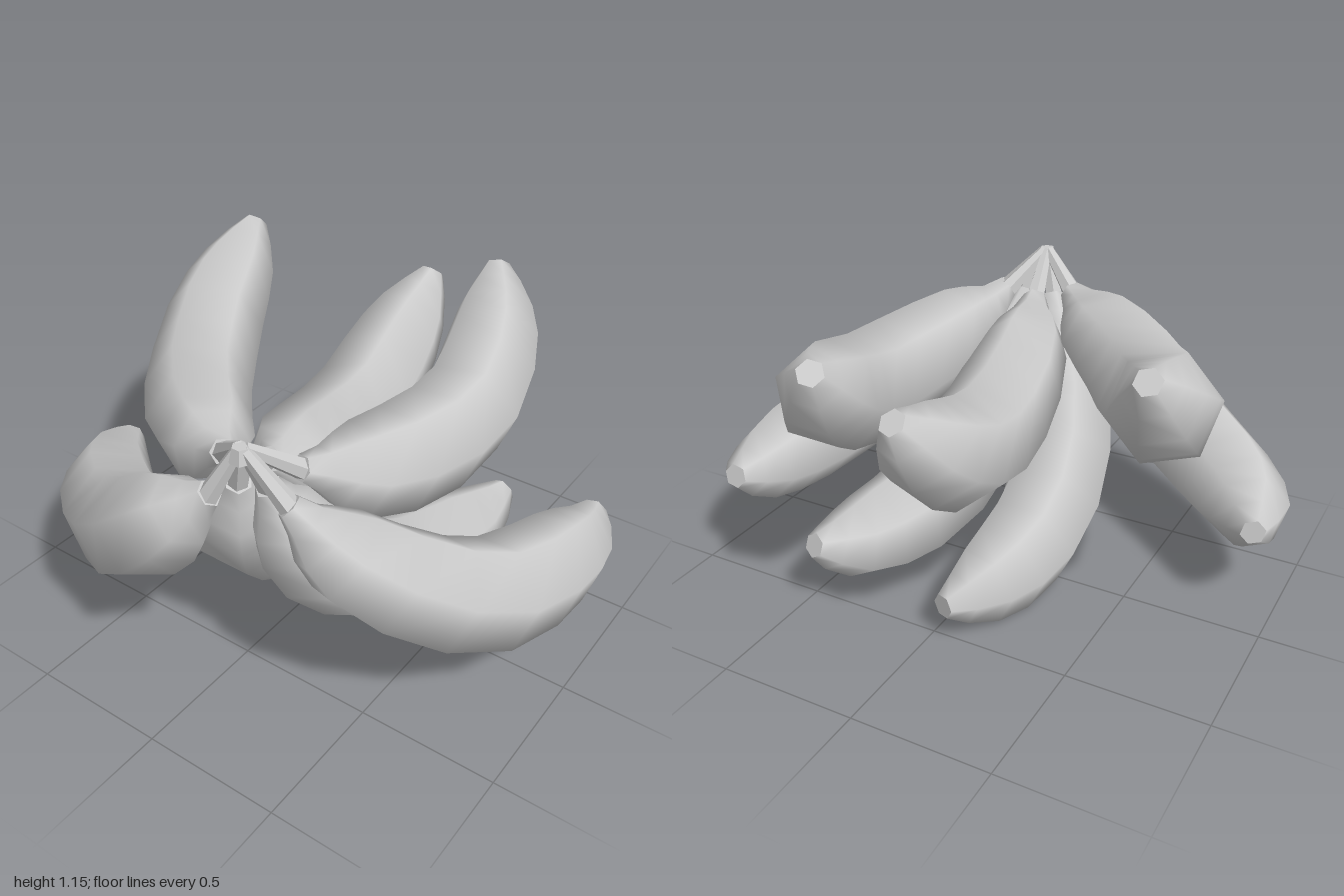
import * as THREE from 'three';

const SIDES = 6;
const HUB = [-0.65, 1.03, 0.15];

// Centre lines, from the neck below the stem to the blossom end
const FRUITS = {
  upperFrontFruit: [[-0.48, 0.9, 0.24], [-0.25, 0.8, 0.32], [0.05, 0.76, 0.38], [0.3, 0.77, 0.38], [0.55, 0.86, 0.32], [0.71, 0.96, 0.25], [0.82, 1.07, 0.19]],
  upperMiddleFruit: [[-0.49, 0.89, 0.12], [-0.25, 0.75, 0.05], [0, 0.67, 0], [0.25, 0.65, -0.04], [0.5, 0.72, -0.08], [0.69, 0.84, -0.09], [0.81, 0.97, -0.08]],
  upperBackFruit: [[-0.56, 0.91, 0], [-0.43, 0.82, -0.19], [-0.25, 0.79, -0.39], [0, 0.81, -0.57], [0.2, 0.89, -0.67], [0.37, 0.99, -0.71], [0.52, 1.12, -0.73]],
  lowerFrontFruit: [[-0.62, 0.87, 0.3], [-0.55, 0.72, 0.43], [-0.4, 0.56, 0.6], [-0.2, 0.44, 0.74], [0, 0.39, 0.8], [0.2, 0.37, 0.83], [0.37, 0.37, 0.84], [0.5, 0.4, 0.83]],
  lowerMiddleFruit: [[-0.59, 0.88, 0.2], [-0.5, 0.68, 0.22], [-0.35, 0.46, 0.25], [-0.15, 0.29, 0.28], [0.05, 0.22, 0.31], [0.25, 0.2, 0.35], [0.42, 0.21, 0.39], [0.58, 0.27, 0.43]],
  lowerInnerFruit: [[-0.61, 0.87, 0.1], [-0.53, 0.69, 0.03], [-0.38, 0.48, -0.07], [-0.2, 0.32, -0.13], [0, 0.21, -0.15], [0.2, 0.16, -0.14], [0.38, 0.14, -0.1], [0.52, 0.14, -0.05]],
  lowerBackFruit: [[-0.7, 0.86, 0.06], [-0.72, 0.72, -0.09], [-0.68, 0.56, -0.28], [-0.58, 0.43, -0.49], [-0.42, 0.36, -0.71], [-0.26, 0.34, -0.85], [-0.08, 0.36, -0.92]],
};

// Fruit thickness: [position along the centre line, radius]
const PROFILE = [[0, 0.045], [0.05, 0.075], [0.1, 0.125], [0.16, 0.162], [0.28, 0.184], [0.42, 0.192], [0.56, 0.194], [0.7, 0.188], [0.8, 0.172], [0.88, 0.142], [0.95, 0.092], [1, 0.045]];

const vec = (p) => new THREE.Vector3(...p);

// Six-sided curved body with one edge running along the outside of the bend
function fruitGeometry(points) {
  const curve = new THREE.CatmullRomCurve3(points.map(vec));
  const start = curve.getPointAt(0), mid = curve.getPointAt(0.5), end = curve.getPointAt(1);
  const bendAxis = mid.clone().sub(start).cross(end.clone().sub(mid)).normalize();
  const positions = [], index = [];

  const addRing = (u, radius) => {
    const centre = curve.getPointAt(u);
    const tangent = curve.getTangentAt(u);
    const outer = tangent.clone().cross(bendAxis).normalize();
    const side = tangent.clone().cross(outer);
    for (let j = 0; j < SIDES; j++) {
      const a = (j / SIDES) * Math.PI * 2;
      const p = centre.clone()
        .addScaledVector(outer, Math.cos(a) * radius)
        .addScaledVector(side, Math.sin(a) * radius);
      positions.push(p.x, p.y, p.z);
    }
  };

  PROFILE.forEach(([u, r]) => addRing(u, r));
  for (let i = 0; i < PROFILE.length - 1; i++) {
    for (let j = 0; j < SIDES; j++) {
      const a = i * SIDES + j, b = i * SIDES + ((j + 1) % SIDES);
      index.push(a, b, a + SIDES, b, b + SIDES, a + SIDES);
    }
  }

  // Flat end caps on their own rings, so their rims stay sharp
  for (const tip of [0, 1]) {
    const first = positions.length / 3;
    addRing(tip, 0.045);
    for (let j = 1; j < SIDES - 1; j++) {
      if (tip) index.push(first, first + j, first + j + 1);
      else index.push(first, first + j + 1, first + j);
    }
  }

  const geometry = new THREE.BufferGeometry();
  geometry.setAttribute('position', new THREE.Float32BufferAttribute(positions, 3));
  geometry.setIndex(index);
  geometry.computeVertexNormals();
  return geometry;
}

// Thin tapered stalk between the shared hub and the neck of a fruit
function makeStalk(neck, material) {
  const top = vec(HUB);
  top.x += (neck.x - top.x) * 0.06;
  top.z += (neck.z - top.z) * 0.06;
  const bottom = neck.clone().addScaledVector(neck.clone().sub(top).normalize(), 0.03);
  const along = top.clone().sub(bottom);
  const stalk = new THREE.Mesh(new THREE.CylinderGeometry(0.02, 0.038, along.length(), SIDES), material);
  stalk.position.copy(top).add(bottom).multiplyScalar(0.5);
  stalk.quaternion.setFromUnitVectors(new THREE.Vector3(0, 1, 0), along.normalize());
  stalk.name = 'stalk';
  return stalk;
}

export function createModel() {
  const model = new THREE.Group();
  model.name = 'bananaBunch';
  const skin = new THREE.MeshStandardMaterial({ color: 0xcccccc });
  const stem = new THREE.MeshStandardMaterial({ color: 0xcccccc, flatShading: true });

  for (const [name, points] of Object.entries(FRUITS)) {
    const fruit = new THREE.Group();
    fruit.name = name;
    const body = new THREE.Mesh(fruitGeometry(points), skin);
    body.name = 'body';
    fruit.add(body, makeStalk(vec(points[0]), stem));
    model.add(fruit);
  }

  // Small crown where the stalks meet
  const crown = new THREE.Mesh(new THREE.CylinderGeometry(0.028, 0.04, 0.05, SIDES), stem);
  crown.position.set(HUB[0], HUB[1] - 0.015, HUB[2]);
  crown.name = 'crown';
  model.add(crown);

  return model;
}
